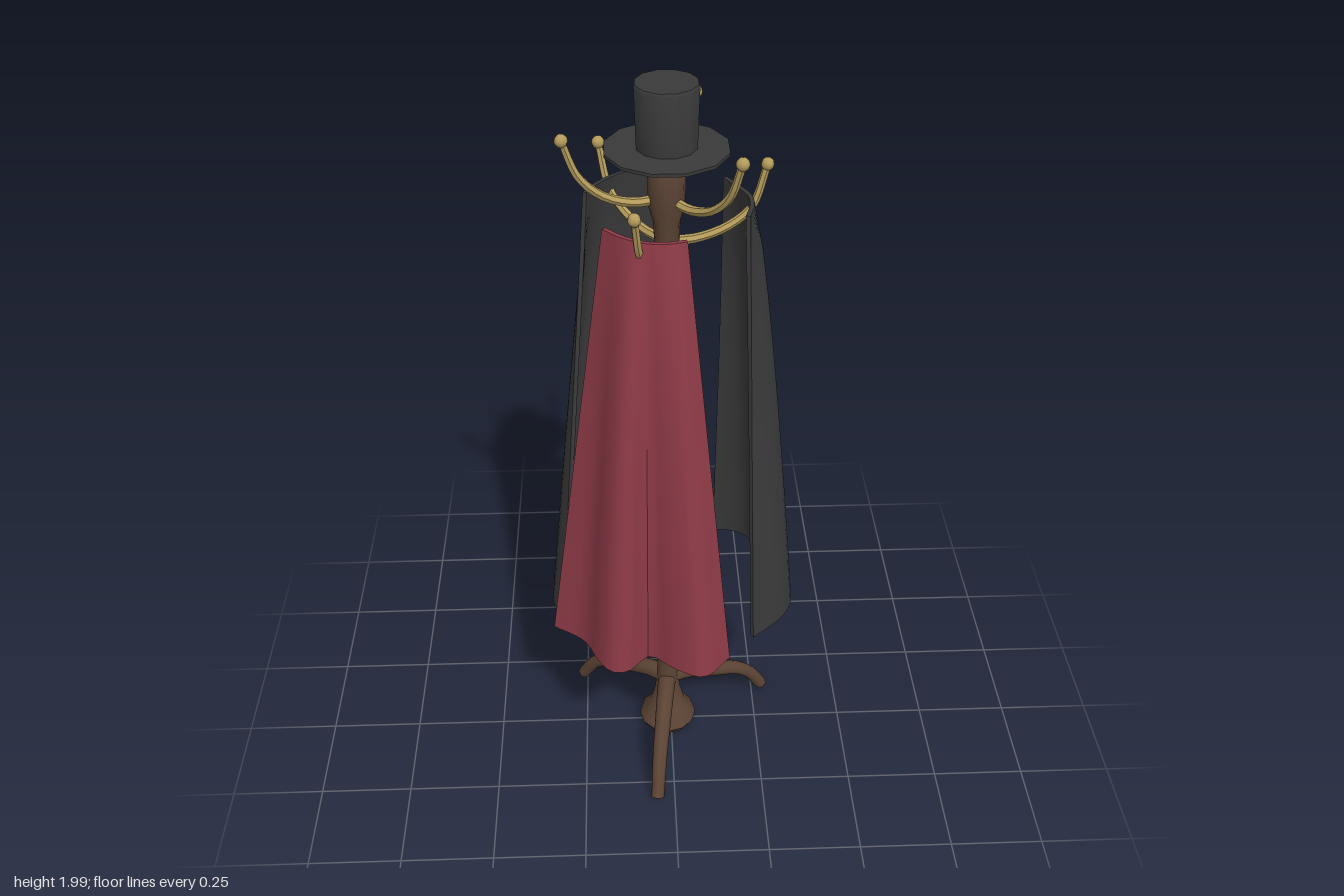
import * as THREE from 'three';
import { toCreasedNormals } from 'three/addons/utils/BufferGeometryUtils.js';

const wood = new THREE.MeshStandardMaterial({ color: 0x5c4435 });
wood.name = 'dark wood';
const brass = new THREE.MeshStandardMaterial({ color: 0xb59c5c });
brass.name = 'brass';
const black = new THREE.MeshStandardMaterial({ color: 0x3a3a3a });
black.name = 'black cloth';
const red = new THREE.MeshStandardMaterial({ color: 0x8f3b48 });
red.name = 'red cloth';

const AXIS_X = -0.01;
const v3 = (x, y, z) => new THREE.Vector3(x, y, z);

function add(parent, name, geometry, material) {
  const mesh = new THREE.Mesh(geometry, material);
  mesh.name = name;
  parent.add(mesh);
  return mesh;
}

function lathe(points, sides) {
  const g = new THREE.LatheGeometry(points.map(([r, y]) => new THREE.Vector2(r, y)), sides);
  return toCreasedNormals(g, 0.6);
}

// Round bar through [radius, height] points, tapered by radiusAt(0..1), closed at the ends
function bar(points, segments, sides, radiusAt) {
  const curve = new THREE.CatmullRomCurve3(points.map(([r, y]) => v3(r, y, 0)));
  const g = new THREE.TubeGeometry(curve, segments, 1, sides);
  const p = g.attributes.position;
  for (let i = 0; i < p.count; i++) {
    const t = Math.floor(i / (sides + 1)) / segments;
    const c = curve.getPointAt(t);
    const q = v3(0, 0, 0).fromBufferAttribute(p, i).sub(c).multiplyScalar(radiusAt(t)).add(c);
    p.setXYZ(i, q.x, q.y, q.z);
  }
  const index = Array.from(g.index.array);
  const last = segments * (sides + 1);
  for (let i = 1; i < sides - 1; i++) {
    index.push(0, i, i + 1, last, last + i + 1, last + i);
  }
  g.setIndex(index);
  return toCreasedNormals(g, 0.9);
}

// Hanging cloth: shoulder arc widening into a wavy hem, with a thin inner layer
function cloak(topPoints, hemPoints, topY, hemY) {
  const cols = 28, rows = 10, thick = 0.011;
  const top = new THREE.CatmullRomCurve3(topPoints.map(([x, z]) => v3(x, 0, z)));
  const hem = new THREE.CatmullRomCurve3(hemPoints.map(([x, z]) => v3(x, 0, z)));
  const pos = [], index = [];
  const loop = 2 * (cols + 1);
  for (let r = 0; r <= rows; r++) {
    const t = r / rows;
    const y = THREE.MathUtils.lerp(topY, hemY, t);
    const outer = [];
    for (let j = 0; j <= cols; j++) {
      const u = j / cols;
      // the middle swells out early, the free edges fall straight
      const power = THREE.MathUtils.lerp(0.65, 1, Math.abs(2 * u - 1));
      outer.push(top.getPointAt(u).lerp(hem.getPointAt(u), Math.pow(t, power)));
    }
    const inner = outer.map((p, j) => {
      const d = outer[Math.min(j + 1, cols)].clone().sub(outer[Math.max(j - 1, 0)]).normalize();
      return v3(p.x + d.z * thick, 0, p.z - d.x * thick);
    });
    [...outer, ...inner.reverse()].forEach((p) => pos.push(p.x, y, p.z));
  }
  for (let r = 0; r < rows; r++) {
    for (let j = 0; j < loop; j++) {
      const a = r * loop + j, b = r * loop + (j + 1) % loop;
      index.push(a, a + loop, b, b, a + loop, b + loop);
    }
  }
  const base = rows * loop;
  for (let j = 0; j < cols; j++) {
    const o = j, o2 = j + 1, i = loop - 1 - j, i2 = loop - 2 - j;
    index.push(o, o2, i2, o, i2, i);
    index.push(base + o, base + i2, base + o2, base + o, base + i, base + i2);
  }
  const g = new THREE.BufferGeometry();
  g.setAttribute('position', new THREE.Float32BufferAttribute(pos, 3));
  g.setIndex(index);
  return toCreasedNormals(g, 0.7);
}

export function createModel() {
  const model = new THREE.Group();
  model.name = 'coatStand';
  const stand = new THREE.Group();
  stand.name = 'stand';
  stand.position.x = AXIS_X;
  model.add(stand);

  // Turned pole with a flared foot and a pointed finial
  add(stand, 'pole', lathe([
    [0, 0.015], [0.07, 0.015], [0.082, 0.035], [0.078, 0.05], [0.05, 0.09], [0.037, 0.14], [0.03, 0.2],
    [0.027, 0.29], [0.037, 0.35], [0.037, 0.39], [0.027, 0.46], [0.027, 1.55], [0.032, 1.66],
    [0.043, 1.7], [0.045, 1.79], [0.04, 1.805], [0.012, 1.835], [0, 1.837],
  ], 12), wood);

  // Three curved legs
  const legGeo = bar([[0.0, 0.185], [0.06, 0.182], [0.15, 0.15], [0.23, 0.12], [0.275, 0.08], [0.315, 0.018]],
    14, 8, (t) => 0.026 - 0.008 * t);
  for (let i = 0; i < 3; i++) {
    add(stand, 'leg', legGeo, wood).rotation.y = -THREE.MathUtils.degToRad(97 + i * 120);
  }

  // Two tiers of three hooks with ball tips
  const tiers = [
    { start: 49, path: [[0.02, 1.72], [0.08, 1.718], [0.15, 1.742], [0.205, 1.795], [0.24, 1.885]] },
    { start: 109, path: [[0.02, 1.608], [0.08, 1.61], [0.15, 1.632], [0.205, 1.675], [0.24, 1.78]] },
  ];
  for (const { start, path } of tiers) {
    const hookGeo = bar(path, 14, 6, (t) => 0.012 - 0.003 * t);
    const [tipR, tipY] = path[path.length - 1];
    for (let i = 0; i < 3; i++) {
      const hook = new THREE.Group();
      hook.name = 'hook';
      hook.rotation.y = -THREE.MathUtils.degToRad(start + i * 120);
      add(hook, 'hookArm', hookGeo, brass);
      add(hook, 'hookBall', new THREE.SphereGeometry(0.016, 8, 6), brass).position.set(tipR, tipY, 0);
      stand.add(hook);
    }
  }

  // Top hat resting on the finial
  const hat = add(stand, 'topHat', lathe([
    [0, 1.839], [0.147, 1.839], [0.147, 1.847], [0.072, 1.849], [0.076, 1.995], [0.073, 2], [0, 2],
  ], 12), black);
  hat.rotation.y = Math.PI / 12;

  // Three hanging cloaks
  add(model, 'redCloak', cloak(
    [[-0.16, 0.13], [-0.12, 0.17], [-0.07, 0.2], [-0.02, 0.207], [0.03, 0.197]],
    [[-0.322, 0.13], [-0.24, 0.19], [-0.2, 0.27], [-0.165, 0.31], [-0.125, 0.31], [-0.065, 0.255],
      [0, 0.305], [0.075, 0.337], [0.146, 0.267]],
    1.71, 0.51), red);
  add(model, 'blackCloakLeft', cloak(
    [[0.178, 0.08], [0.192, 0.02], [0.19, -0.03], [0.167, -0.08], [0.138, -0.13]],
    [[0.215, 0.192], [0.26, 0.155], [0.31, 0.1], [0.333, 0.04], [0.315, -0.02], [0.268, -0.11],
      [0.26, -0.19], [0.235, -0.245], [0.185, -0.275], [0.133, -0.28]],
    1.71, 0.51), black);
  add(model, 'blackCloakBack', cloak(
    [[-0.045, -0.195], [-0.095, -0.183], [-0.142, -0.148], [-0.178, -0.107], [-0.205, -0.06]],
    [[0.027, -0.32], [-0.015, -0.337], [-0.07, -0.335], [-0.11, -0.3], [-0.15, -0.255], [-0.19, -0.22],
      [-0.25, -0.195], [-0.31, -0.16], [-0.335, -0.09], [-0.33, -0.045], [-0.305, 0]],
    1.71, 0.43), black);

  return model;
}
